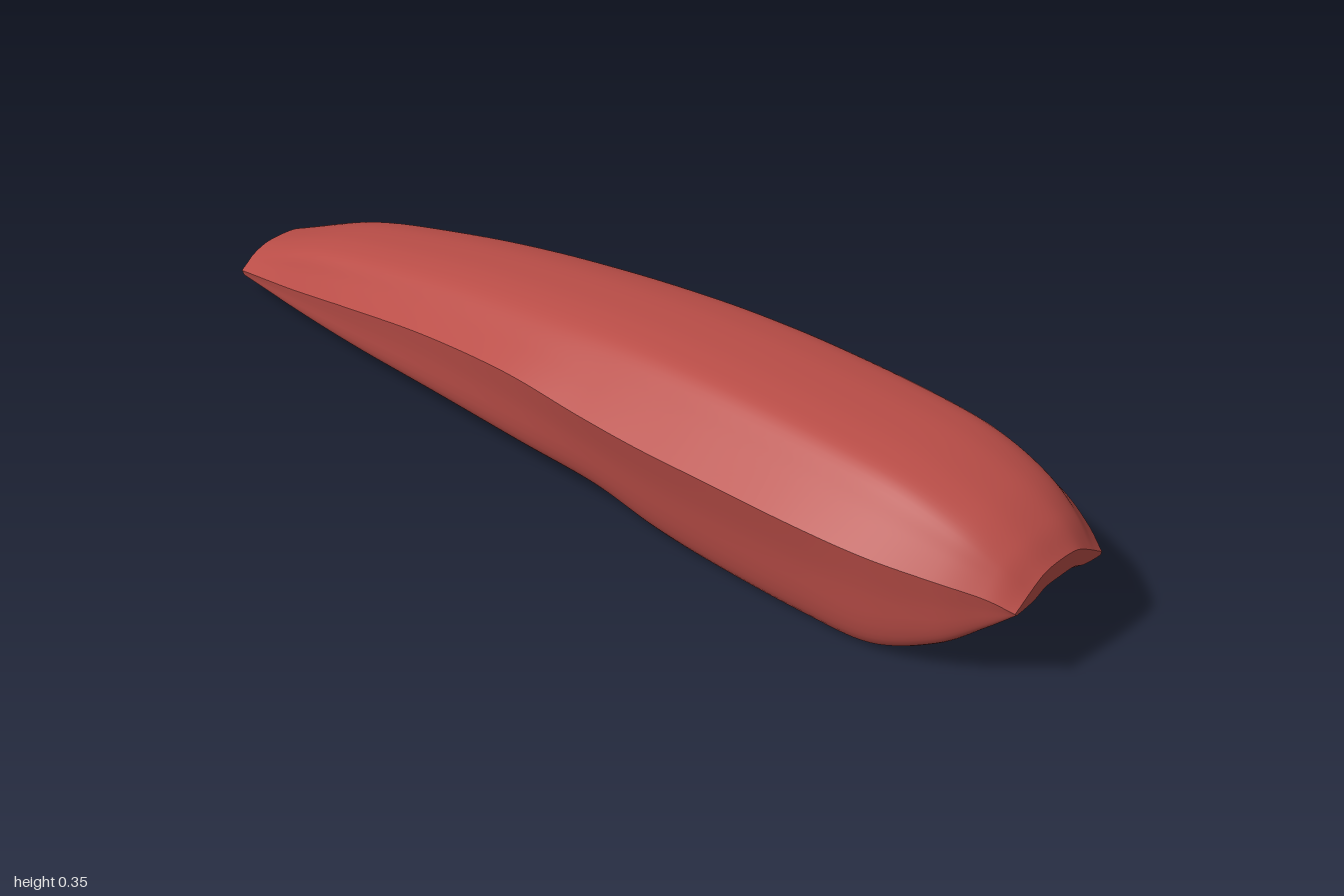
import * as THREE from 'three';

// Stations along the body: x, top y, shoulder z, shoulder drop, chine z, chine y,
// flank foot z, rail z, rail y, channel edge z, channel y
const STATIONS = [
  [-1.00, 0.094, 0.080, 0.018, 0.112, 0.052, 0.107, 0.092, 0.036, 0.045, 0.058],
  [-0.80, 0.176, 0.095, 0.018, 0.141, 0.095, 0.134, 0.105, 0.035, 0.055, 0.060],
  [-0.60, 0.229, 0.104, 0.018, 0.167, 0.142, 0.156, 0.115, 0.036, 0.062, 0.062],
  [-0.35, 0.281, 0.112, 0.018, 0.196, 0.195, 0.180, 0.125, 0.044, 0.070, 0.068],
  [-0.10, 0.317, 0.120, 0.018, 0.223, 0.228, 0.198, 0.132, 0.046, 0.074, 0.070],
  [0.10, 0.338, 0.126, 0.018, 0.237, 0.227, 0.204, 0.135, 0.044, 0.076, 0.066],
  [0.25, 0.347, 0.130, 0.018, 0.243, 0.226, 0.205, 0.135, 0.018, 0.076, 0.045],
  [0.40, 0.350, 0.132, 0.018, 0.244, 0.228, 0.205, 0.135, 0.006, 0.076, 0.037],
  [0.60, 0.346, 0.132, 0.018, 0.241, 0.228, 0.205, 0.135, 0.003, 0.076, 0.036],
  [0.75, 0.335, 0.130, 0.020, 0.223, 0.221, 0.198, 0.134, 0.010, 0.074, 0.042],
  [0.87, 0.305, 0.122, 0.024, 0.187, 0.210, 0.172, 0.128, 0.062, 0.068, 0.095],
  [0.95, 0.265, 0.105, 0.026, 0.150, 0.195, 0.142, 0.121, 0.125, 0.055, 0.148],
  [1.00, 0.222, 0.085, 0.024, 0.124, 0.174, 0.121, 0.115, 0.169, 0.040, 0.187],
];
const ROWS = 96, COLS = 48;
const mix = THREE.MathUtils.lerp;

// Half sections as [z, y], each ending on the centre line
function upperHalf([, top, sz, drop, cz, cy]) {
  const sy = top - drop;
  return [[cz, cy], [mix(cz, sz, 0.5), mix(cy, sy, 0.5)], [sz, sy],
    [sz * 0.55, top - drop * 0.2], [0, top]];
}
function lowerHalf([, , , , cz, cy, oz, rz, ry, fz, fy]) {
  const oy = mix(ry, cy, 0.2);
  return [[cz, cy], [mix(cz, oz, 0.5), mix(cy, oy, 0.45)], [oz, oy],
    [mix(rz, oz, 0.72), mix(ry, oy, 0.17)], [rz, ry],
    [mix(rz, fz, 0.6), mix(ry, fy, 0.3)], [fz, mix(ry, fy, 0.93)], [0, fy]];
}

// Mirror a half section; side = 1 runs from +z to -z, side = -1 the other way
function fullSection(x, half, side) {
  const mirrored = half.slice(0, -1).reverse().map(([z, y]) => [-z, y]);
  return [...half, ...mirrored].map(([z, y]) => new THREE.Vector3(x, y, z * side));
}

// Smooth the sections lengthwise, then around
function loftRows(halfOf, side) {
  const sections = STATIONS.map((s) => fullSection(s[0], halfOf(s), side));
  const lines = sections[0].map((_, k) =>
    new THREE.CatmullRomCurve3(sections.map((s) => s[k]), false, 'catmullrom', 0.5));
  const rows = [];
  for (let i = 0; i <= ROWS; i++) {
    const points = lines.map((line) => line.getPoint(i / ROWS));
    rows.push(new THREE.CatmullRomCurve3(points, false, 'centripetal').getPoints(COLS));
  }
  return rows;
}

function skin(rows) {
  const n = rows[0].length, index = [];
  for (let i = 0; i < rows.length - 1; i++) {
    for (let j = 0; j < n - 1; j++) {
      const a = i * n + j, b = a + n;
      index.push(a, b, b + 1, a, b + 1, a + 1);
    }
  }
  const geometry = new THREE.BufferGeometry().setFromPoints(rows.flat());
  geometry.setIndex(index);
  geometry.computeVertexNormals();
  return geometry;
}

export function createModel() {
  const group = new THREE.Group();
  group.name = 'shapedBody';
  const red = new THREE.MeshStandardMaterial({ color: 0xb94d47 });
  red.name = 'red';
  const add = (name, geometry) => {
    const mesh = new THREE.Mesh(geometry, red);
    mesh.name = name;
    group.add(mesh);
  };

  // Crowned top and channelled underside meet in a sharp chine
  const upper = loftRows(upperHalf, 1);
  const lower = loftRows(lowerHalf, -1);
  add('upperShell', skin(upper));
  add('lowerHull', skin(lower));

  // Flat crescent caps close both ends
  for (const [name, row, dir] of [['wideEndCap', ROWS, 1], ['narrowEndCap', 0, -1]]) {
    const ring = [...upper[row].slice(0, -1), ...lower[row].slice(0, -1)];
    const shape = new THREE.Shape(ring.map((p) => new THREE.Vector2(p.z, p.y)));
    const cap = new THREE.ShapeGeometry(shape);
    cap.rotateY(dir * Math.PI / 2);
    cap.translate(dir, 0, 0);
    add(name, cap);
  }
  return group;
}
